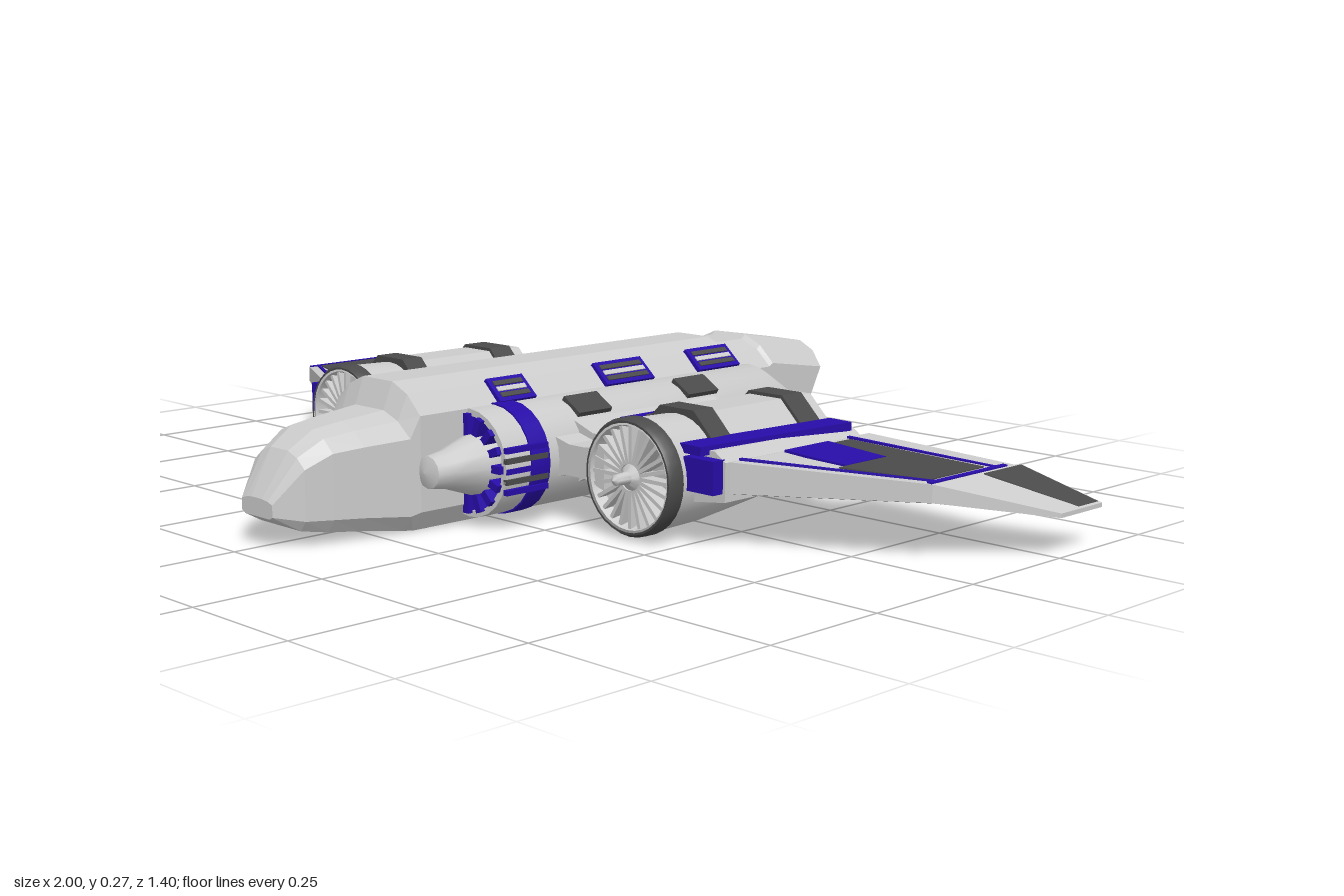
import * as THREE from 'three';
import { toCreasedNormals } from 'three/addons/utils/BufferGeometryUtils.js';

const GREY = 0xcccccc, DARK = 0x4a4a4a, BLUE = 0x280ca8;
const mats = {};
const mat = (color, flat) => mats[color + '' + flat] ??= new THREE.MeshStandardMaterial({ color, flatShading: flat });

function add(parent, name, geo, color = GREY, flat = true) {
  const m = new THREE.Mesh(flat ? geo : toCreasedNormals(geo, 0.6), mat(color, flat));
  m.name = name;
  parent.add(m);
  return m;
}

function box(parent, name, [w, h, d], [x, y, z], color, tilt = 0) {
  const m = add(parent, name, new THREE.BoxGeometry(w, h, d), color);
  m.position.set(x, y, z);
  m.rotation.z = tilt;
  return m;
}

// Turned part along z; profile is [radius, z] from back to front
function turned(parent, name, profile, [x, y], color, sides = 24) {
  const geo = new THREE.LatheGeometry(profile.map(p => new THREE.Vector2(...p)), sides);
  geo.rotateX(Math.PI / 2).translate(x, y, 0);
  return add(parent, name, geo, color, false);
}

// Skin over rings of equal length, front to back, each anticlockwise seen from +z
function loft(rings) {
  const n = rings[0].length, idx = [];
  for (let i = 0; i < rings.length - 1; i++)
    for (let j = 0; j < n; j++) {
      const k = (j + 1) % n, a = i * n + j, d = i * n + k;
      idx.push(a, a + n, d, a + n, d + n, d);
    }
  const last = (rings.length - 1) * n;
  for (let j = 1; j < n - 1; j++) idx.push(0, j, j + 1, last, last + j + 1, last + j);
  const geo = new THREE.BufferGeometry();
  geo.setAttribute('position', new THREE.Float32BufferAttribute(rings.flat(2), 3));
  geo.setIndex(idx);
  geo.computeVertexNormals();
  return geo;
}

// Wing height and half thickness across the span
const lerp = THREE.MathUtils.lerp;
const midY = x => x < 0.87 ? lerp(0.127, 0.12, (x - 0.57) / 0.3) : lerp(0.12, 0.074, (x - 0.87) / 0.13);
const halfT = x => x < 0.87 ? lerp(0.028, 0.016, (x - 0.57) / 0.3) : lerp(0.016, 0.004, (x - 0.87) / 0.13);

// Wing slab with an [x, z] outline, between lo and hi of the half thickness
function plate(parent, name, outline, lo, hi, color) {
  const shape = new THREE.Shape(outline.map(([x, z]) => new THREE.Vector2(x, -z)));
  const geo = new THREE.ExtrudeGeometry(shape, { depth: 1, bevelEnabled: false }).rotateX(-Math.PI / 2);
  const p = geo.attributes.position;
  for (let i = 0; i < p.count; i++) {
    const x = p.getX(i);
    p.setY(i, midY(x) + halfT(x) * lerp(lo, hi, p.getY(i)));
  }
  return add(parent, name, geo, color);
}

// Prism along z from an [x, y] outline
function prism(parent, name, outline, z0, z1, color) {
  const shape = new THREE.Shape(outline.map(p => new THREE.Vector2(...p)));
  const geo = new THREE.ExtrudeGeometry(shape, { depth: z1 - z0, bevelEnabled: false });
  return add(parent, name, geo.translate(0, 0, z0), color);
}

function hull(g) {
  const half = [[0.8, 0], [1, 0.14], [1, 0.8], [0.7, 0.93], [0.35, 1]];
  const ring = [...half, ...half.map(([x, y]) => [-x, y]).reverse()];
  // z, half width, bottom, top
  const stations = [
    [0.7, 0.045, 0.055, 0.088], [0.65, 0.073, 0.03, 0.168], [0.6, 0.088, 0.022, 0.2], [0.54, 0.1, 0.016, 0.208],
    [0.45, 0.116, 0.004, 0.217], [0.43, 0.12, 0.002, 0.267], [-0.405, 0.12, 0, 0.267], [-0.415, 0.12, 0, 0.252],
    [-0.51, 0.12, 0, 0.252], [-0.52, 0.12, 0, 0.26], [-0.7, 0.12, 0, 0.23]];
  const rings = stations.map(([z, w, b, t]) => ring.map(([x, y]) => {
    const Y = lerp(b, t, y);
    return [x * w, Y, z === -0.7 ? -0.58 - 0.12 * Y / 0.23 : z];
  }));
  add(g, 'hull', loft(rings));
  box(g, 'keelPlate', [0.18, 0.008, 0.98], [0, 0.004, -0.09], DARK);
}

function sidePod(g) {
  const c = [0.125, 0.115];
  turned(g, 'sidePod', [[0, -0.615], [0.1, -0.44], [0.1, 0.2], [0.1, 0.32], [0.088, 0.32], [0.085, 0.24], [0, 0.24]], c);
  turned(g, 'podBand', [[0.1, 0.215], [0.103, 0.215], [0.103, 0.26], [0.1, 0.26]], c, BLUE);
  turned(g, 'intakeSpike', [[0.06, 0.24], [0.056, 0.33], [0.036, 0.39], [0.03, 0.43], [0, 0.44]], [0.14, 0.115], GREY, 12);
  // Radial intake vanes
  for (let i = 0; i < 16; i++) {
    const a = i * Math.PI / 8;
    box(g, 'intakeVane', [0.042, 0.014, 0.09],
      [c[0] + 0.071 * Math.cos(a), c[1] + 0.071 * Math.sin(a), 0.285], BLUE, a);
  }
  for (let i = -2; i <= 2; i++) box(g, 'podSlat', [0.01, 0.01, 0.1], [0.222, 0.112 + i * 0.019, 0.27], i % 2 ? DARK : BLUE);
  for (const z of [-0.22, 0.075]) box(g, 'podVent', [0.05, 0.012, 0.085], [0.178, 0.2, z], DARK, -0.55);
  // Shoulder windows with slats
  for (const [z, d] of [[-0.35, 0.12], [-0.095, 0.13], [0.2, 0.09]]) {
    box(g, 'windowFrame', [0.056, 0.012, d], [0.102, 0.233, z], BLUE, -0.72);
    for (const k of [-1, 0, 1])
      box(g, 'windowSlat', [0.01, 0.016, d - 0.02], [0.102 + k * 0.0105, 0.233 - k * 0.0092, z], k ? DARK : GREY, -0.72);
  }
}

function innerWing(g) {
  const arch = [[0.2, 0.06], [0.24, 0.08], [0.29, 0.08], [0.34, 0.06], [0.34, 0.17], [0.29, 0.162], [0.25, 0.162], [0.2, 0.18]];
  prism(g, 'innerWing', arch, -0.25, 0.13, GREY);
  prism(g, 'innerWingNose', arch.map(([x, y]) => [x, lerp(0.12, y, 0.7)]), 0.13, 0.19, GREY);
  prism(g, 'innerWingTail', arch.map(([x, y]) => [x > 0.3 ? 0.27 : x, lerp(0.12, y, 0.8)]), -0.32, -0.25, GREY);
  box(g, 'innerBluePanel', [0.11, 0.012, 0.14], [0.28, 0.171, -0.19], BLUE);
  box(g, 'innerFrontPanel', [0.1, 0.012, 0.15], [0.275, 0.171, -0.04], BLUE);
  box(g, 'innerHatch', [0.055, 0.02, 0.1], [0.285, 0.172, -0.05], DARK);
  box(g, 'innerHatchFrame', [0.012, 0.03, 0.16], [0.317, 0.172, -0.04], GREY);
}

function nacelle(g) {
  const c = [0.407, 0.113];
  turned(g, 'nacelle', [[0, -0.24], [0.065, -0.24], [0.083, -0.1], [0.1, 0.06], [0.103, 0.17], [0.103, 0.195],
    [0.094, 0.198], [0.088, 0.175], [0.025, 0.16], [0, 0.16]], c, GREY, 32);
  turned(g, 'intakeRing', [[0.1, 0.168], [0.107, 0.168], [0.107, 0.192], [0.102, 0.2], [0.098, 0.2]], c, DARK, 32);
  turned(g, 'intakeHub', [[0.03, 0.15], [0.03, 0.185], [0.012, 0.2], [0.01, 0.228], [0, 0.236]], c, GREY, 12);
  for (let i = 0; i < 24; i++) {
    const a = i * Math.PI / 12;
    box(g, 'fanBlade', [0.072, 0.007, 0.025], [c[0] + 0.06 * Math.cos(a), c[1] + 0.06 * Math.sin(a), 0.18], GREY, a);
  }
  // Faceted casing over the engine with dark straps
  const casing = s => [[-1, -0.2], [1, -0.2], [1, 0.55], [0.45, 1], [-0.45, 1], [-1, 0.55]]
    .map(([x, y]) => [c[0] + x * 0.085 * s, c[1] + y * 0.103 * s]);
  prism(g, 'engineCasing', casing(1), -0.25, 0.04, GREY);
  prism(g, 'frontStrap', casing(1.07), 0.025, 0.075, DARK);
  prism(g, 'rearStrap', casing(1.06), -0.22, -0.165, DARK);
  // Exhausts
  turned(g, 'exhaust', [[0, -0.255], [0.045, -0.27], [0.055, -0.292], [0.066, -0.285], [0.068, -0.26], [0.055, -0.235]], c);
  for (const [x, y] of [[0.335, 0.15], [0.48, 0.15], [0.525, 0.13], [0.55, 0.13]])
    turned(g, 'smallExhaust', [[0, -0.255], [0.014, -0.262], [0.018, -0.25], [0.016, -0.2]], [x, y], GREY, 10);
  // Shoulder block between engine and wing
  prism(g, 'wingRoot', [[0.46, 0.07], [0.575, 0.085], [0.575, 0.155], [0.55, 0.172], [0.46, 0.172]], -0.24, 0.13, GREY);
  const strip = new THREE.BoxGeometry(0.055, 0.016, 0.38);
  const m = add(g, 'rootBlueStrip', strip, BLUE);
  m.position.set(0.522, 0.172, -0.04);
  m.rotation.y = -0.07;
  box(g, 'rootBlueNose', [0.07, 0.06, 0.03], [0.535, 0.13, 0.14], BLUE);
}

function outerWing(g) {
  plate(g, 'wing', [[0.57, 0.12], [0.87, -0.06], [0.87, -0.3], [0.57, -0.27]], -1, 1, GREY);
  plate(g, 'wingTip', [[0.87, -0.06], [1, -0.25], [1, -0.375], [0.87, -0.315]], -1, 1, GREY);
  plate(g, 'flap', [[0.57, -0.26], [0.87, -0.29], [0.86, -0.315], [0.58, -0.335]], -0.5, 0.3, DARK);
  // Upper panels
  plate(g, 'wingDarkPanel', [[0.59, -0.14], [0.71, -0.14], [0.71, -0.01], [0.85, -0.08], [0.85, -0.235], [0.59, -0.19]], 0.5, 1.12, DARK);
  plate(g, 'wingBluePanel', [[0.58, -0.14], [0.71, -0.14], [0.71, -0.03], [0.63, -0.02], [0.58, -0.02]], 0.5, 1.16, BLUE);
  plate(g, 'tipDarkPanel', [[0.875, -0.2], [0.995, -0.31], [0.995, -0.37], [0.875, -0.31]], 0.5, 1.15, DARK);
  plate(g, 'tipLine', [[0.858, -0.06], [0.868, -0.06], [0.868, -0.28], [0.858, -0.28]], 0.5, 1.15, BLUE);
  plate(g, 'leadingLine', [[0.575, 0.095], [0.86, -0.075], [0.86, -0.083], [0.575, 0.087]], 0.5, 1.15, BLUE);
  plate(g, 'trailingLine', [[0.575, -0.2], [0.86, -0.25], [0.86, -0.258], [0.575, -0.208]], 0.5, 1.15, BLUE);
  // Lower panels
  plate(g, 'lowerSkin', [[0.57, 0.11], [0.87, -0.065], [0.87, -0.295], [0.57, -0.265]], -1.08, -0.8, DARK);
  plate(g, 'lowerBorder', [[0.6, 0.06], [0.85, -0.08], [0.85, -0.26], [0.6, -0.22]], -1.14, -0.8, BLUE);
  plate(g, 'lowerPanel', [[0.608, 0.045], [0.842, -0.088], [0.842, -0.25], [0.608, -0.212]], -1.2, -0.8, DARK);
  plate(g, 'lowerTip', [[0.87, -0.07], [0.998, -0.255], [0.998, -0.37], [0.87, -0.31]], -1.15, -0.8, DARK);
}

export function createModel() {
  const model = new THREE.Group();
  model.name = 'spacecraft';
  hull(model);
  const left = new THREE.Group();
  left.name = 'leftSide';
  for (const part of [sidePod, innerWing, nacelle, outerWing]) part(left);
  const right = left.clone();
  right.name = 'rightSide';
  right.scale.x = -1;
  model.add(left, right);
  return model;
}
